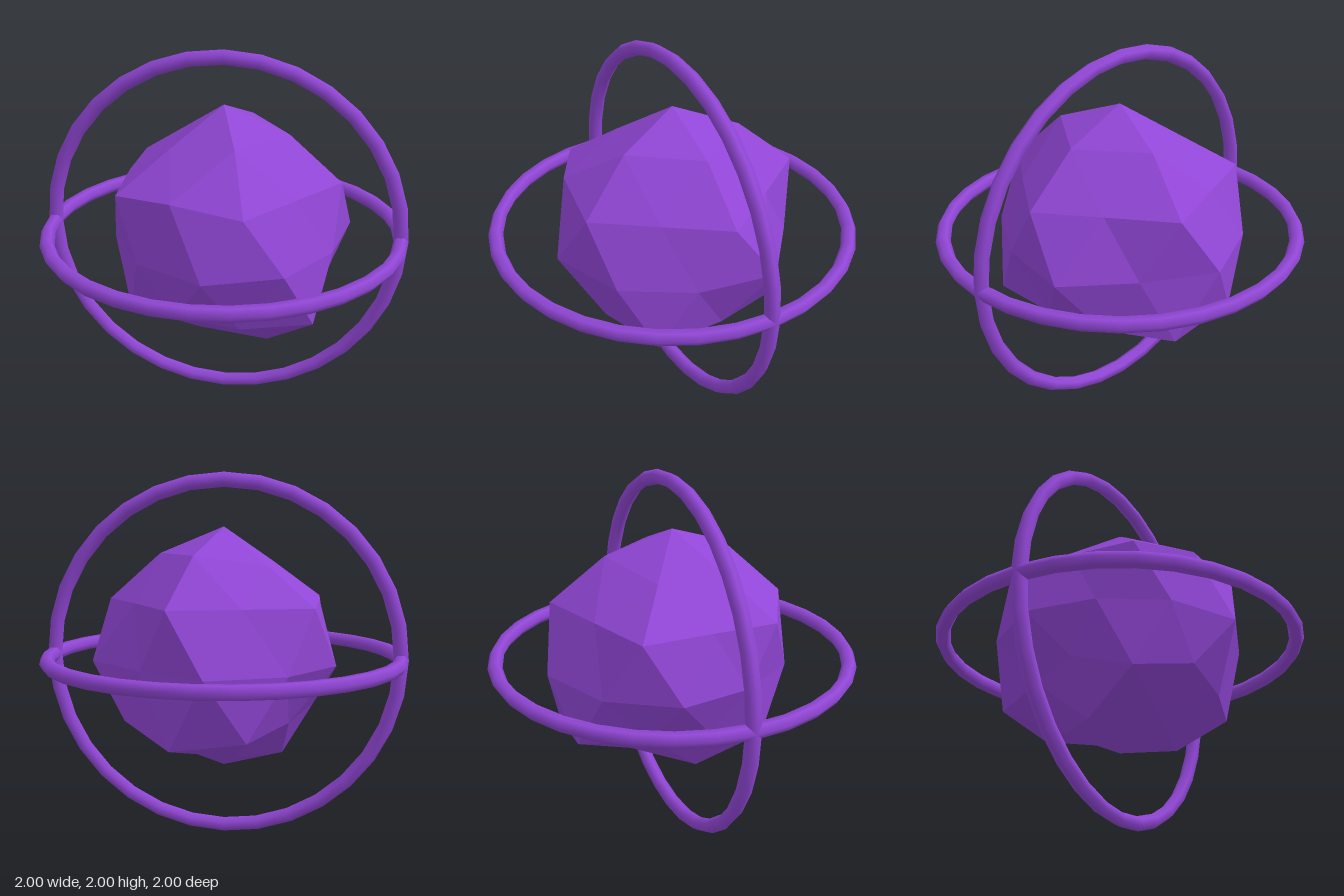
import * as THREE from 'three';

// Point at a given azimuth (degrees from +z toward +x), height ratio and radius
function point(azimuth, elevation, radius) {
  const a = THREE.MathUtils.degToRad(azimuth);
  const h = Math.sqrt(1 - elevation * elevation) * radius;
  return [h * Math.sin(a), elevation * radius, h * Math.cos(a)];
}

// One ring of evenly spaced points, each with its own radius
function ring(start, step, elevation, radii) {
  return radii.map((r, i) => point(start + step * i, elevation, r));
}

// Irregular rock: a once-divided icosahedron standing on a corner, uneven radii
function rockGeometry() {
  const top = [0, 0.711, 0], bottom = [0, -0.61, 0];
  const topMid = ring(18, 72, 0.851, [0.68, 0.665, 0.673, 0.605, 0.602]);
  const upper = ring(18, 72, 0.447, [0.705, 0.706, 0.727, 0.712, 0.693]);
  const upperMid = ring(54, 72, 0.526, [0.61, 0.615, 0.612, 0.61, 0.677]);
  const equator = ring(0, 36, 0, [0.69, 0.67, 0.64, 0.715, 0.61, 0.71, 0.673, 0.652, 0.59, 0.62]);
  const lower = ring(54, 72, -0.447, [0.737, 0.66, 0.73, 0.55, 0.615]);
  const lowerMid = ring(18, 72, -0.526, [0.625, 0.62, 0.735, 0.555, 0.655]);
  const bottomMid = ring(54, 72, -0.851, [0.645, 0.555, 0.57, 0.62, 0.545]);

  const positions = [];
  const face = (a, b, c) => positions.push(...a, ...b, ...c);
  // Large triangle split in four through its edge points
  const split = (a, b, c, ab, bc, ca) => {
    face(a, ab, ca);
    face(ab, b, bc);
    face(ca, bc, c);
    face(ab, bc, ca);
  };

  for (let k = 0; k < 5; k++) {
    const n = (k + 1) % 5;
    const e1 = equator[2 * k + 1], e2 = equator[(2 * k + 2) % 10], e3 = equator[(2 * k + 3) % 10];
    split(top, upper[k], upper[n], topMid[k], upperMid[k], topMid[n]);
    split(upper[k], lower[k], upper[n], e1, e2, upperMid[k]);
    split(lower[k], lower[n], upper[n], lowerMid[n], e3, e2);
    split(bottom, lower[n], lower[k], bottomMid[n], lowerMid[n], bottomMid[k]);
  }

  const geometry = new THREE.BufferGeometry();
  geometry.setAttribute('position', new THREE.Float32BufferAttribute(positions, 3));
  geometry.computeVertexNormals(); // unshared corners give flat facets
  return geometry;
}

export function createModel() {
  const model = new THREE.Group();
  model.name = 'ringedRock';

  const purple = new THREE.MeshStandardMaterial({ color: 0x9146d6 });
  purple.name = 'purple';

  // Faceted core
  const core = new THREE.Mesh(rockGeometry(), purple);
  core.name = 'rockCore';
  core.position.y = 1;
  model.add(core);

  // Two crossing rings, one upright and one level
  const ringGeometry = new THREE.TorusGeometry(0.96, 0.04, 6, 32);
  for (const [name, tilt] of [['uprightRing', 0], ['levelRing', Math.PI / 2]]) {
    const mesh = new THREE.Mesh(ringGeometry, purple);
    mesh.name = name;
    mesh.position.y = 1;
    mesh.rotation.x = tilt;
    model.add(mesh);
  }

  return model;
}
